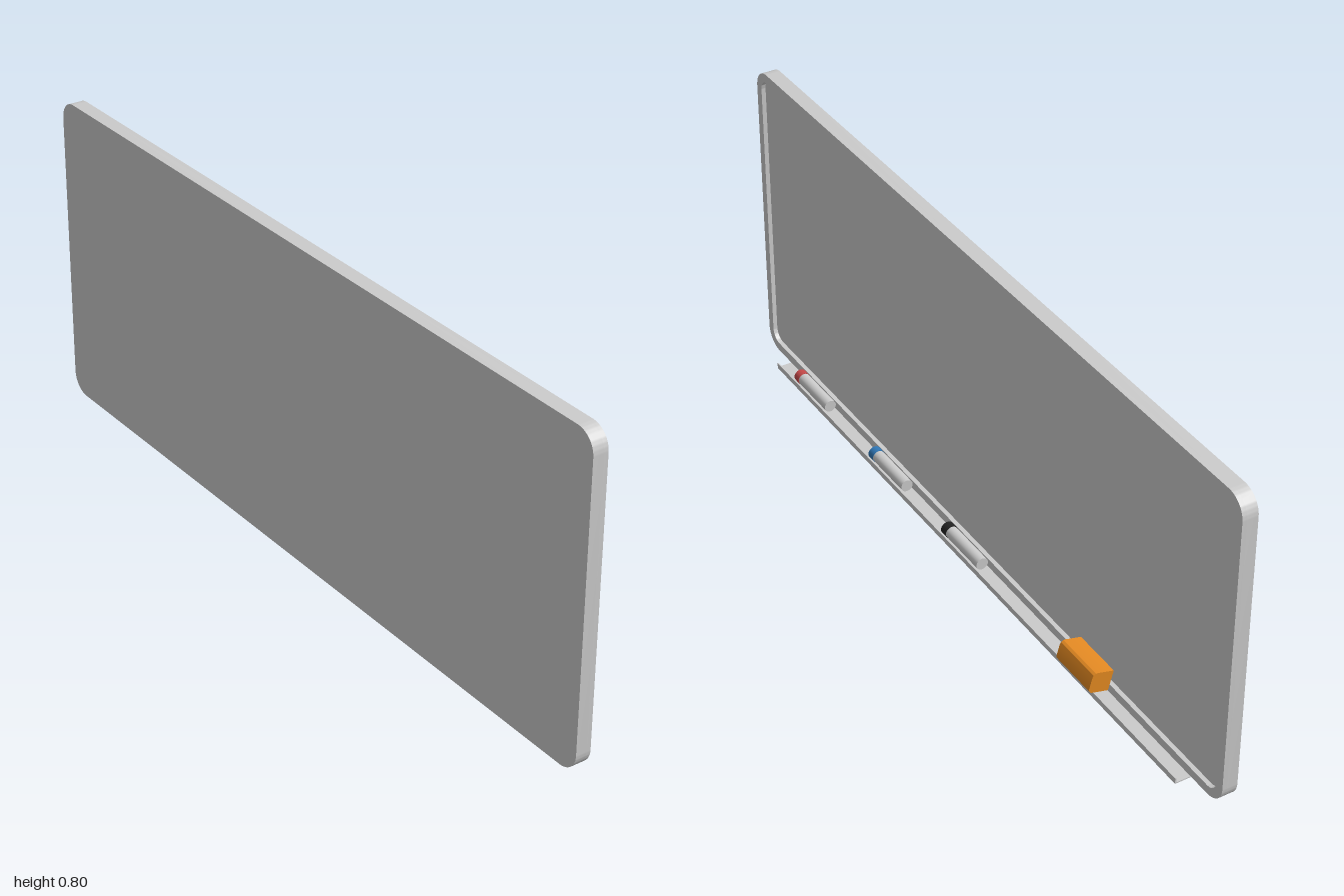
import * as THREE from 'three';
import { toCreasedNormals } from 'three/addons/utils/BufferGeometryUtils.js';

const material = (color = 0xcccccc) => new THREE.MeshStandardMaterial({ color });

// Rounded rectangle centred on (0, cy)
function roundedRect(path, w, h, r, cy = 0) {
  const x = w / 2, b = cy - h / 2, t = cy + h / 2, q = Math.PI / 2;
  path.moveTo(-x + r, b);
  path.lineTo(x - r, b);
  path.absarc(x - r, b + r, r, -q, 0);
  path.lineTo(x, t - r);
  path.absarc(x - r, t - r, r, 0, q);
  path.lineTo(-x + r, t);
  path.absarc(-x + r, t - r, r, q, 2 * q);
  path.lineTo(-x, b + r);
  path.absarc(-x + r, b + r, r, 2 * q, 3 * q);
  return path;
}

const extrude = (shape, depth) =>
  new THREE.ExtrudeGeometry(shape, { depth, bevelEnabled: false, curveSegments: 8 });

export function createModel() {
  const group = new THREE.Group();
  const grey = material();

  function add(name, geometry, mat = grey, parent = group) {
    const mesh = new THREE.Mesh(geometry, mat);
    mesh.name = name;
    parent.add(mesh);
    return mesh;
  }

  // Board: a full backing slab with a raised frame around the writing surface
  const W = 2, H = 0.797, CY = 0.4015;
  const slab = (shape, x0, x1) =>
    toCreasedNormals(extrude(shape, x1 - x0).rotateY(Math.PI / 2).translate(x0, 0, 0), 0.6);
  add('writingPanel', slab(roundedRect(new THREE.Shape(), W, H, 0.05, CY), -0.051, -0.024));
  const rim = roundedRect(new THREE.Shape(), W, H, 0.05, CY);
  rim.holes.push(roundedRect(new THREE.Path(), W - 0.044, H - 0.044, 0.03, CY));
  add('frame', slab(rim, -0.024, -0.013));

  // Tray: shallow floor with an upturned front lip
  const tray = new THREE.Shape([
    [-0.013, 0], [0.026, 0], [0.026, 0.015], [0.023, 0.015], [0.023, 0.003], [-0.013, 0.003],
  ].map(([x, y]) => new THREE.Vector2(x, y)));
  add('tray', extrude(tray, 1.775).translate(0, 0, -0.89));

  // Markers lying in the tray, capped at the +z end
  const rod = (r, z0, z1) => new THREE.CylinderGeometry(r, r, z1 - z0, 24)
    .rotateX(Math.PI / 2).translate(0, 0, (z0 + z1) / 2);
  const markers = [['red', 0xc44848, 0.645], ['blue', 0x2f76b5, 0.265], ['black', 0x222222, -0.08]];
  for (const [label, color, z] of markers) {
    const marker = new THREE.Group();
    marker.name = label + 'Marker';
    marker.position.set(0.0045, 0.0195, z);
    add('markerBody', rod(0.0155, 0, 0.137), grey, marker);
    add('markerCap', rod(0.0165, 0.137, 0.158), material(color), marker);
    group.add(marker);
  }

  // Eraser: block with rounded outer corners, tilted back against the panel
  const w = 0.027, h = 0.026, r = 0.012;
  const block = new THREE.Shape();
  block.moveTo(-w, -h);
  block.lineTo(w - r, -h);
  block.absarc(w - r, -h + r, r, -Math.PI / 2, 0);
  block.lineTo(w, h - r);
  block.absarc(w - r, h - r, r, 0, Math.PI / 2);
  block.lineTo(-w, h);
  block.closePath();
  const eraser = add('eraser', toCreasedNormals(extrude(block, 0.13), 0.6), material(0xe58a22));
  eraser.rotation.z = 0.26;
  eraser.position.set(0.0135, 0.0475, -0.587);

  return group;
}
